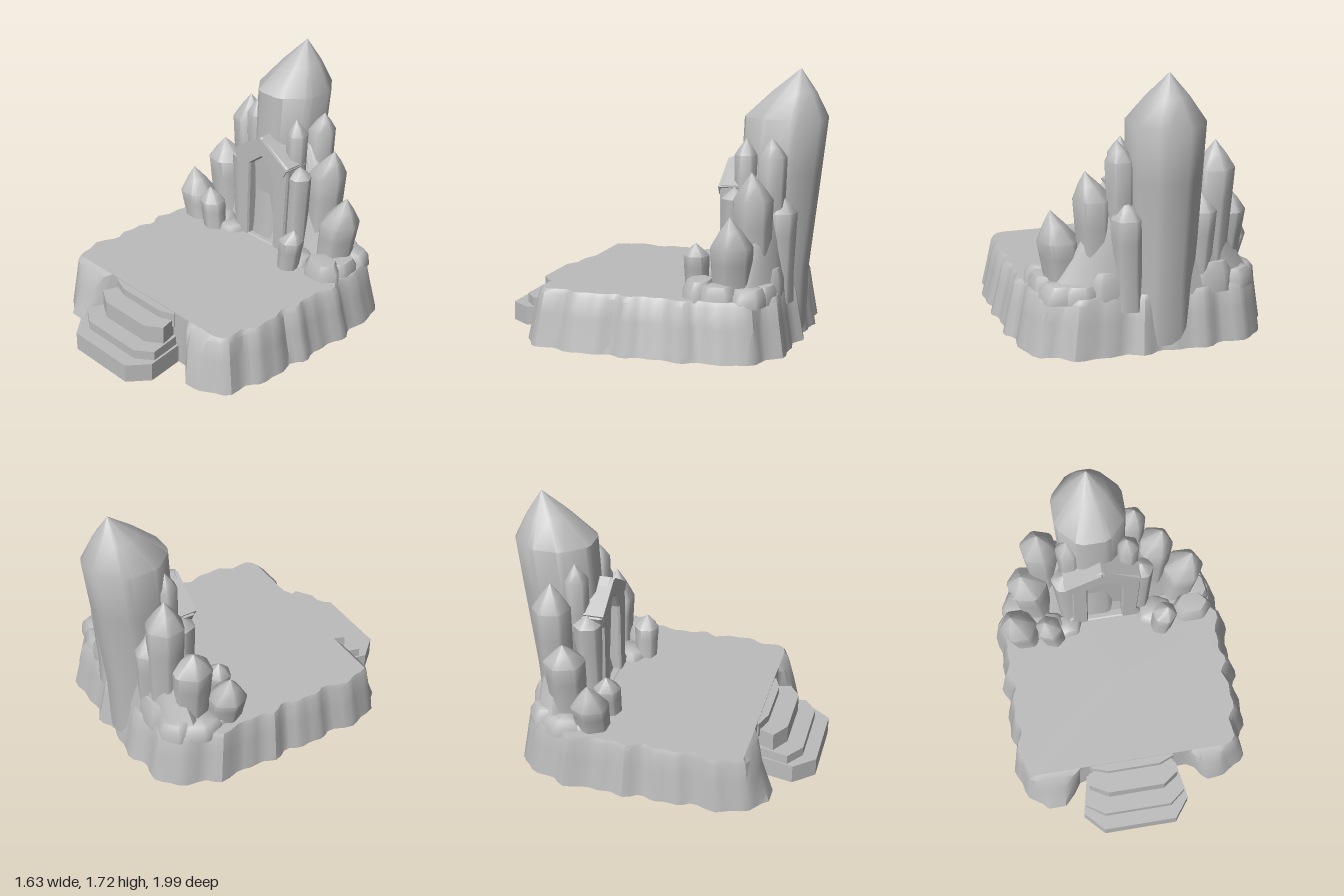
import * as THREE from 'three';
import { toCreasedNormals } from 'three/addons/utils/BufferGeometryUtils.js';

const stone = new THREE.MeshStandardMaterial({ color: 0xbcbcbc });
stone.name = 'grey stone';

// Skin a stack of rings (each running from +z towards +x) and close both ends
function loft(rings, bottom, top, crease) {
  const n = rings[0].length, idx = [];
  const pos = [...rings.flat(), bottom, top].flat();
  const b = rings.length * n, t = b + 1, last = b - n;
  for (let j = 0; j < n; j++) {
    const k = (j + 1) % n;
    for (let lo = 0; lo < last; lo += n) {
      const hi = lo + n;
      idx.push(lo + j, lo + k, hi + k, lo + j, hi + k, hi + j);
    }
    idx.push(k, j, b, last + j, last + k, t);
  }
  const g = new THREE.BufferGeometry();
  g.setAttribute('position', new THREE.Float32BufferAttribute(pos, 3));
  g.setIndex(idx);
  return toCreasedNormals(g, crease);
}

// Polygon ring with softly bevelled corners
function ring(cx, y, cz, rx, rz, sides, turn) {
  const pts = [];
  for (let i = 0; i < sides; i++) {
    for (const d of [-0.1, 0.1]) {
      const a = turn + (i / sides) * Math.PI * 2 + d;
      pts.push([cx + Math.sin(a) * rx, y, cz + Math.cos(a) * rz]);
    }
  }
  return pts;
}

// Pointed prism with a spreading foot, leaning from foot to shoulder
function crystal(tip, shoulder, foot, rx, rz, sides, turn) {
  const [t, s, f] = [tip, shoulder, foot].map(p => new THREE.Vector3(...p));
  const level = (from, to, at, scale) => {
    const c = from.clone().lerp(to, at);
    return ring(c.x, c.y, c.z, rx * scale, rz * scale, sides, turn);
  };
  return loft([
    level(f, s, 0, 0.95), level(f, s, 0.3, 0.88), level(f, s, 0.75, 0.96),
    level(f, s, 1, 1), level(s, t, 0.52, 0.53),
  ], foot, tip, 0.75);
}

// Squat boulder with a softened upper edge
function rock(x, z, rx, rz, y1, turn) {
  const y0 = 0.36;
  const level = (f, s) => ring(x, y0 + (y1 - y0) * f, z, rx * s, rz * s, 6, turn);
  return loft([level(0, 1), level(0.6, 0.95), level(0.95, 0.72)], [x, y0, z], [x, y1, z], 0.9);
}

// Rounded-square cliff outline with flutes and a bay for the steps
function cliffRing(y, inset) {
  const pts = [], n = 120;
  for (let i = 0; i < n; i++) {
    const a = (i / n) * Math.PI * 2, s = Math.sin(a), c = Math.cos(a);
    const depth = c > 0 ? 0.77 : 0.89;
    const power = c > 0 && s < 0 ? 7 : 4.6;
    const flute = 1 + 0.018 * Math.sin(17 * a) + 0.016 * Math.sin(29 * a + 1);
    const r = flute * ((Math.abs(s) / 0.79) ** power + (Math.abs(c) / depth) ** power) ** (-1 / power) - inset;
    const x = s * r, z = c * r;
    const bay = THREE.MathUtils.lerp(0.61, 0.8, THREE.MathUtils.smoothstep(Math.abs(x), 0.36, 0.52));
    const lip = 0.61 + Math.max(0, 0.08 - inset) * 1.9;
    pts.push([x - inset * 0.25, y, Math.min(z, bay, lip)]);
  }
  return pts;
}

// Worn step that widens, then narrows to its front edge
function step(y0, y1, left, right, zWide, zFront) {
  const shape = new THREE.Shape();
  shape.moveTo(left + 0.07, -0.55);
  shape.lineTo(left, -zWide);
  shape.lineTo(left + 0.12, -zFront);
  shape.lineTo(right - 0.1, -zFront);
  shape.lineTo(right, -zWide);
  shape.lineTo(right - 0.05, -0.55);
  const g = new THREE.ExtrudeGeometry(shape, { depth: y1 - y0, bevelEnabled: false });
  return g.rotateX(-Math.PI / 2).translate(0, y0, 0);
}

const points = list => list.map(([x, y]) => new THREE.Vector2(x, y));

export function createModel() {
  const group = new THREE.Group();
  const add = (name, geo) => {
    const m = new THREE.Mesh(geo, stone);
    m.name = name;
    group.add(m);
  };

  // Fluted cliff platform with a flat top
  add('platform', loft([
    cliffRing(0.05, 0), cliffRing(0.1, 0.01), cliffRing(0.25, 0.04), cliffRing(0.37, 0.062),
    cliffRing(0.4, 0.08), cliffRing(0.4, 0.12),
  ], [0, 0.05, 0], [0, 0.395, 0], 0.7));
  add('underside', loft([ring(-0.06, 0.025, -0.48, 0.3, 0.16, 7, 0), ring(-0.06, 0.06, -0.45, 0.46, 0.28, 7, 0)],
    [-0.06, 0, -0.5], [-0.06, 0.06, -0.45], 0.6));

  // Three worn steps
  add('lowerStep', step(0.05, 0.17, -0.39, 0.31, 0.86, 0.99));
  add('middleStep', step(0.1, 0.23, -0.37, 0.29, 0.82, 0.9));
  add('upperStep', step(0.2, 0.345, -0.33, 0.26, 0.72, 0.79));
  add('landing', step(0.3, 0.395, -0.31, 0.25, 0.62, 0.66));

  // Great central crystal
  add('mainCrystal', crystal([-0.07, 1.72, -0.84], [-0.08, 1.42, -0.75], [-0.08, 0.08, -0.64], 0.235, 0.262, 8, 0.39));

  // Surrounding crystals: tip x, y, z, shoulder x, y, radius
  const crystals = [
    [-0.42, 1.27, -0.68, -0.42, 1.1, 0.12],
    [-0.56, 0.93, -0.57, -0.53, 0.8, 0.13],
    [-0.67, 0.73, -0.38, -0.63, 0.57, 0.12],
    [-0.45, 0.67, -0.33, -0.43, 0.58, 0.085],
    [-0.25, 1.33, -0.58, -0.24, 1.22, 0.08],
    [0.21, 1.32, -0.73, 0.19, 1.2, 0.09],
    [0.13, 1.3, -0.55, 0.14, 1.2, 0.07],
    [0.38, 1.13, -0.65, 0.33, 0.96, 0.12],
    [0.57, 0.89, -0.57, 0.52, 0.7, 0.13],
    [0.37, 0.68, -0.3, 0.35, 0.6, 0.08],
    [-0.29, 1, -0.5, -0.28, 0.93, 0.09],
    [0.22, 1.01, -0.5, 0.22, 0.94, 0.08],
    [-0.31, 0.98, -0.73, -0.32, 0.86, 0.1],
    [0.17, 0.98, -0.78, 0.16, 0.86, 0.1],
  ];
  crystals.forEach(([x, y, z, sx, sy, r], i) =>
    add('crystal', crystal([x, y, z], [sx, sy, z], [sx * 0.9, 0.3, z * 0.98], r, r, 6, 0.2 + (i % 3) * 0.15)));

  // Rock core filling the gaps between the crystals
  const core = [[0.37, 0.67, 0.2], [0.47, 0.6, 0.18], [0.65, 0.49, 0.15], [0.88, 0.37, 0.13], [1.1, 0.23, 0.1]];
  add('rockCore', loft(core.map(([y, rx, rz]) => ring(-0.04, y, -0.62 - y * 0.06, rx, rz, 8, 0.2)),
    [-0.04, 0.37, -0.63], [-0.05, 1.16, -0.68], 0.8));

  // Gabled doorway with an arched recess
  const gable = new THREE.Shape(points([[-0.31, 0.39], [-0.25, 0.47], [-0.24, 0.9], [-0.285, 0.98], [-0.05, 1.15],
    [0.19, 1.01], [0.19, 0.9], [0.17, 0.47], [0.23, 0.39]]));
  gable.holes.push(new THREE.Path(points([[-0.165, 0.395], [0.085, 0.395], [0.085, 0.88], [0.025, 0.99],
    [-0.035, 1.03], [-0.155, 0.94]])));
  add('doorFrame', new THREE.ExtrudeGeometry(gable, {
    depth: 0.15, bevelSize: 0.008, bevelThickness: 0.015, bevelSegments: 1,
  }).translate(0, 0, -0.565));
  add('doorRecess', new THREE.BoxGeometry(0.29, 0.68, 0.03).rotateX(0.05).translate(-0.04, 0.72, -0.48));

  // Raised lintel along the two roof slopes
  for (const side of [-1, 1]) {
    const g = new THREE.BoxGeometry(0.28, 0.06, 0.18).rotateZ(side * -0.56);
    add('lintel', g.translate(-0.045 + side * 0.112, 1.052, -0.48));
  }

  // Boulders around the crystal feet: x, z, half widths, top, turn
  const rocks = [
    [0.55, -0.38, 0.14, 0.1, 0.51, 0.5],
    [0.6, -0.5, 0.09, 0.13, 0.49, 0.2],
    [0.53, -0.67, 0.14, 0.12, 0.47, 0.3],
    [0.42, -0.73, 0.13, 0.09, 0.47, 0.1],
    [0.26, -0.73, 0.15, 0.1, 0.55, 0.6],
    [0.3, -0.4, 0.13, 0.12, 0.45, 0],
    [-0.61, -0.56, 0.12, 0.15, 0.46, 0.4],
    [-0.53, -0.69, 0.14, 0.12, 0.48, 0.2],
    [-0.38, -0.72, 0.16, 0.11, 0.55, 0.5],
    [-0.5, -0.42, 0.2, 0.1, 0.47, 0.1],
    [-0.3, -0.39, 0.1, 0.09, 0.44, 0.7],
  ];
  rocks.forEach(r => add('boulder', rock(...r)));

  return group;
}
